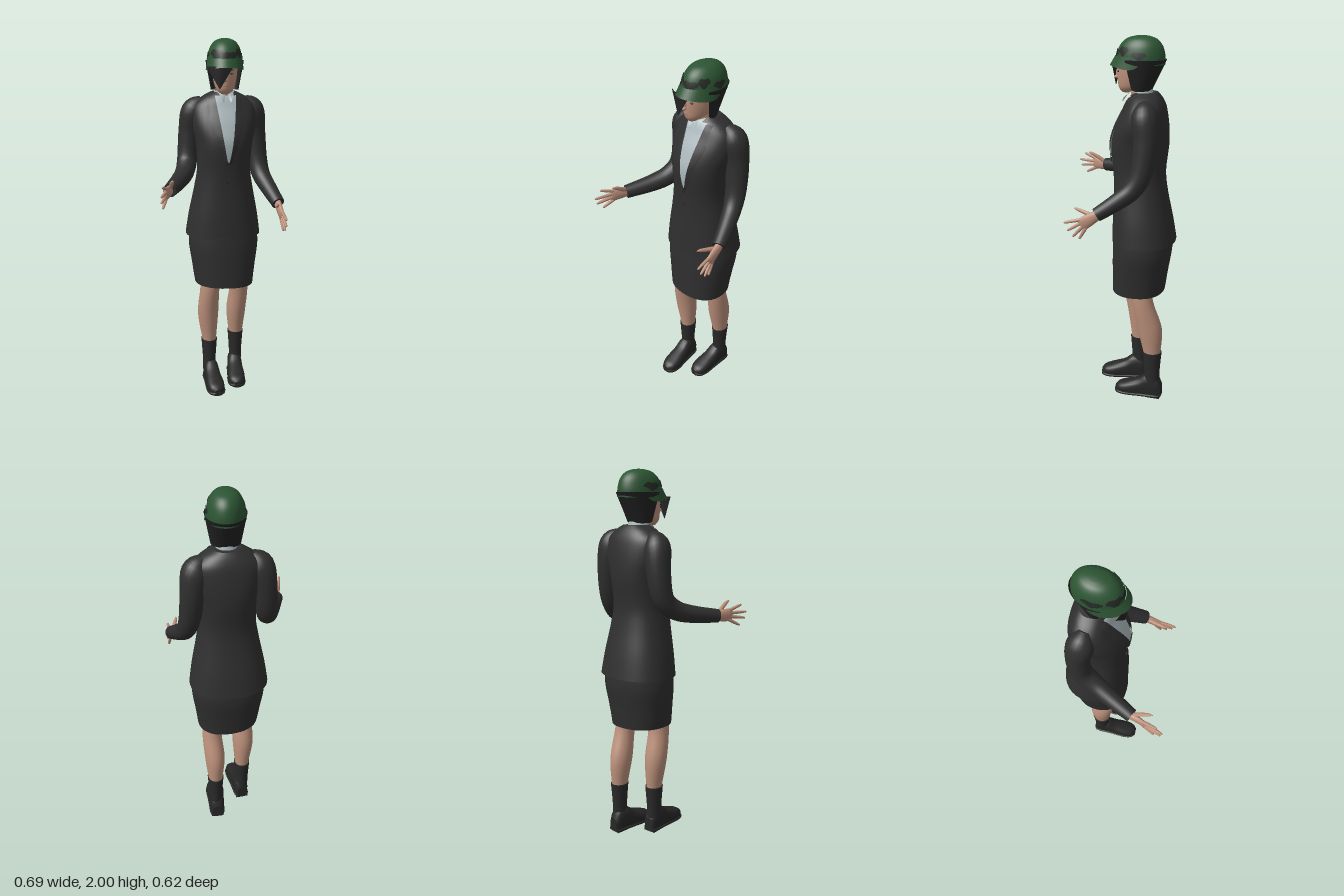
import * as THREE from 'three';
import { ParametricGeometry } from 'three/addons/geometries/ParametricGeometry.js';

const mat = (name, color, open) => new THREE.MeshStandardMaterial({ name, color, side: open ? THREE.DoubleSide : THREE.FrontSide });
const { sin, cos, abs, sign, pow, PI, max } = Math;
const V = (x, y, z) => new THREE.Vector3(x, y, z);
const spow = (v, p) => sign(v) * pow(abs(v), p);
const lerp = THREE.MathUtils.lerp;
const POW = 0.88; // slightly squared body sections

// Smoothly subdivide rows of numbers
function resample(rows, n = 5) {
  const out = [], last = rows.length - 1;
  for (let i = 0; i < last; i++) for (let k = 0; k < n; k++) {
    const t = k / n, a = rows[max(0, i - 1)], b = rows[i], c = rows[i + 1], d = rows[Math.min(last, i + 2)];
    out.push(b.map((_, m) => 0.5 * (2 * b[m] + (c[m] - a[m]) * t + (2 * a[m] - 5 * b[m] + 4 * c[m] - d[m]) * t * t + (3 * b[m] - a[m] - 3 * c[m] + d[m]) * t ** 3)));
  }
  out.push(rows[last]);
  return out;
}

// Skin a list of equal rings and close both ends
function skin(rings) {
  const n = rings[0].length, m = rings.length, pos = [], idx = [];
  const put = (p) => pos.push(p.x, p.y, p.z) / 3 - 1;
  rings.forEach((r) => r.forEach(put));
  for (let i = 0; i < m - 1; i++) for (let j = 0; j < n; j++) {
    const k = (j + 1) % n, a = i * n + j, b = i * n + k;
    idx.push(a, a + n, b, b, a + n, b + n);
  }
  [rings[0], rings[m - 1]].forEach((r, end) => {
    const c = put(r.reduce((s, p) => s.add(p), V(0, 0, 0)).divideScalar(n));
    r.forEach(put);
    for (let j = 0; j < n; j++) {
      const a = c + 1 + j, b = c + 1 + (j + 1) % n;
      if (end) idx.push(c, b, a); else idx.push(c, a, b);
    }
  });
  const g = new THREE.BufferGeometry();
  g.setAttribute('position', new THREE.Float32BufferAttribute(pos, 3));
  g.setIndex(idx);
  g.computeVertexNormals();
  return g;
}
const ring = (n, f) => Array.from({ length: n }, (_, j) => f(j / n * 2 * PI));

// Upright body from rows [y, cx, cz, rx, rz]
const upright = (rows, p = 1, edit = (v) => v) => skin(resample(rows).map(([y, cx, cz, rx, rz]) =>
  ring(36, (a) => edit(V(cx + rx * spow(cos(a), p), y, cz + rz * spow(sin(a), p))))));

// Limb along rows [x, y, z, radius across, radius up]
function limb(rows, n = 16) {
  const s = resample(rows), at = (i) => V(...s[THREE.MathUtils.clamp(i, 0, s.length - 1)].slice(0, 3));
  return skin(s.map(([, , , r1, r2 = r1], i) => {
    const T = at(i + 1).sub(at(i - 1)).normalize();
    const N = V(1, 0, 0).addScaledVector(T, -T.x).normalize(), D = N.clone().cross(T);
    return ring(n, (a) => at(i).addScaledVector(N, r1 * cos(a)).addScaledVector(D, r2 * sin(a)));
  }));
}

export function createModel() {
  const root = new THREE.Group();
  const suit = mat('suit black', 0x2f2f2f, true), skinM = mat('skin', 0xbd917c), shirtM = mat('shirt grey', 0xa9b6ba, true);
  const hairM = mat('hair black', 0x222222, true), green = mat('hat green', 0x2c5433, true), camo = mat('hat dark patches', 0x262b26, true);
  const sockM = mat('sock black', 0x2a2a2a), shoeM = mat('shoe black', 0x272727), lipM = mat('lips', 0x9c6458);
  const add = (name, geo, m, parent = root) => {
    const o = new THREE.Mesh(geo, m);
    o.name = name;
    parent.add(o);
    return o;
  };
  const patch = (name, f, nu, nv, m, parent) => add(name, new ParametricGeometry((u, v, t) => t.copy(f(u, v)), nu, nv), m, parent);

  // Jacket body with a cutaway notch in the front hem
  const torso = [
    [0.93, 0.04, -0.137, 0.21, 0.172], [1.05, 0.04, -0.128, 0.192, 0.16], [1.2, 0.04, -0.115, 0.162, 0.142], [1.31, 0.04, -0.108, 0.146, 0.138],
    [1.45, 0.042, -0.11, 0.155, 0.15], [1.55, 0.043, -0.122, 0.175, 0.135], [1.64, 0.044, -0.137, 0.172, 0.105], [1.69, 0.045, -0.138, 0.125, 0.083], [1.72, 0.045, -0.138, 0.07, 0.06],
  ];
  add('jacket', upright(torso, POW, (v) => {
    if (v.y < 0.99 && v.z > 0) v.y += 0.025 * Math.exp(-(((v.x - 0.02) / 0.035) ** 2));
    return v;
  }), suit);
  const fine = resample(torso);
  const frontZ = (x, y) => {
    const i = max(1, fine.findIndex((r) => r[0] >= y)), a = fine[i - 1], b = fine[i], t = (y - a[0]) / (b[0] - a[0]);
    const [, cx, cz, rx, rz] = a.map((v, k) => lerp(v, b[k], t));
    return cz + rz * pow(max(0, 1 - pow(abs((x - cx) / rx), 2 / POW)), POW / 2);
  };
  const onFront = (x, y, d) => V(x, y, frontZ(x, y) + d);

  // Shirt front, lapels and buttons
  const half = (v) => 0.003 + 0.055 * pow(v, 0.8);
  patch('shirtFront', (u, v) => onFront(0.043 + (u * 2 - 1) * half(v), lerp(1.36, 1.705, v), 0.005), 12, 20, shirtM);
  for (const s of [-1, 1]) patch('lapel', (u, v) => {
    const w = v < 0.72 ? 0.01 + 0.06 * v : 0.045 - 0.05 * (v - 0.72);
    return onFront(0.043 + s * (half(v) + u * w), lerp(1.35, 1.7, v), 0.011 - 0.006 * u);
  }, 6, 20, suit);
  for (const y of [1.25, 1.33]) {
    const b = add('jacketButton', new THREE.CylinderGeometry(0.007, 0.007, 0.006, 10), shoeM);
    b.rotation.x = PI / 2;
    b.position.copy(onFront(0.035, y, 0.002));
  }

  // Skirt
  add('skirt', upright([[0.642, 0.042, -0.11, 0.166, 0.145], [0.75, 0.042, -0.118, 0.18, 0.152], [0.87, 0.042, -0.128, 0.196, 0.16], [0.97, 0.042, -0.13, 0.19, 0.155]], POW,
    (v) => { if (v.y < 0.66) v.y -= 0.04 * (v.x - 0.04); return v; }), suit);

  // Legs and socks
  add('rightLeg', upright([[0.2, -0.045, -0.105, 0.036, 0.042], [0.28, -0.045, -0.105, 0.04, 0.046], [0.45, -0.052, -0.097, 0.059, 0.063], [0.62, -0.045, -0.066, 0.055, 0.06], [0.75, -0.03, -0.08, 0.065, 0.07]]), skinM);
  add('leftLeg', upright([[0.2, 0.13, -0.203, 0.036, 0.042], [0.28, 0.13, -0.2, 0.041, 0.048], [0.43, 0.13, -0.185, 0.056, 0.068], [0.6, 0.137, -0.143, 0.054, 0.058], [0.75, 0.11, -0.12, 0.065, 0.07]]), skinM);
  for (const [x, z, y0] of [[-0.045, -0.105, 0.02], [0.13, -0.202, 0]])
    add('sock', upright([[y0 + 0.07, x, z, 0.036, 0.042], [0.17, x, z, 0.038, 0.044], [0.285, x, z, 0.046, 0.053]]), sockM);

  // Shoes from rows [z from heel, half width, height]
  const upper = [[0, 0.028, 0.08], [0.025, 0.039, 0.125], [0.08, 0.042, 0.135], [0.13, 0.045, 0.1], [0.2, 0.05, 0.072], [0.245, 0.04, 0.055], [0.266, 0.016, 0.036]];
  const shoeGeo = (rows) => skin(resample(rows).map(([z, w, h]) => ring(20, (a) =>
    V(w * spow(cos(a), 0.8), h / 2 * (1 - spow(sin(a), sin(a) > 0 ? 0.35 : 0.9)), z))));
  for (const [name, x, y, z, turn] of [['rightShoe', -0.042, 0.022, -0.148, 0.05], ['leftShoe', 0.13, 0.004, -0.256, -0.09]]) {
    const shoe = new THREE.Group();
    shoe.name = name;
    shoe.position.set(x, y, z);
    shoe.rotation.y = turn;
    add('shoeUpper', shoeGeo(upper), shoeM, shoe);
    add('sole', shoeGeo(upper.map(([d, w]) => [d * 1.01, w + 0.004, 0.02])), shoeM, shoe);
    const heel = add('heel', new THREE.BoxGeometry(0.07, 0.026, 0.07), shoeM, shoe);
    heel.position.set(0, 0.009, 0.04);
    root.add(shoe);
  }

  // Sleeves
  add('rightSleeve', limb([[-0.07, 1.675, -0.145, 0.03], [-0.115, 1.62, -0.155, 0.068], [-0.138, 1.5, -0.17, 0.063], [-0.155, 1.36, -0.155, 0.056], [-0.178, 1.295, -0.09, 0.052], [-0.22, 1.265, 0, 0.046], [-0.285, 1.245, 0.138, 0.036]], 24), suit);
  add('leftSleeve', limb([[0.16, 1.675, -0.145, 0.03], [0.203, 1.62, -0.155, 0.068], [0.222, 1.5, -0.165, 0.063], [0.238, 1.35, -0.148, 0.056], [0.254, 1.26, -0.105, 0.05], [0.28, 1.2, -0.03, 0.044], [0.311, 1.135, 0.07, 0.036]], 24), suit);

  // Hands: palm rows, fingers as [base, tip], thumb path
  const hand = (name, palm, fingers, thumb) => {
    const g = new THREE.Group();
    g.name = name;
    add('palm', limb(palm), skinM, g);
    fingers.forEach(([a, b]) => {
      const mid = a.map((v, i) => lerp(v, b[i], 0.55));
      add('finger', limb([[...a, 0.0095], [...mid, 0.0085], [...a.map((v, i) => lerp(v, b[i], 0.92)), 0.006], [...b, 0.002]], 8), skinM, g);
    });
    add('thumb', limb(thumb, 8), skinM, g);
    root.add(g);
  };
  hand('rightHand',
    [[-0.278, 1.245, 0.11, 0.021, 0.024], [-0.292, 1.245, 0.155, 0.017, 0.031], [-0.31, 1.245, 0.205, 0.012, 0.035], [-0.317, 1.245, 0.22, 0.006, 0.03]],
    [[[-0.311, 1.27, 0.205], [-0.335, 1.295, 0.278]], [[-0.312, 1.254, 0.21], [-0.345, 1.253, 0.312]], [[-0.312, 1.236, 0.208], [-0.345, 1.22, 0.302]], [[-0.31, 1.22, 0.2], [-0.335, 1.183, 0.267]]],
    [[-0.283, 1.26, 0.145, 0.012], [-0.28, 1.287, 0.185, 0.011], [-0.279, 1.308, 0.222, 0.008], [-0.279, 1.315, 0.243, 0.002]]);
  hand('leftHand',
    [[0.308, 1.145, 0.05, 0.021, 0.024], [0.311, 1.115, 0.095, 0.017, 0.031], [0.314, 1.085, 0.14, 0.012, 0.034], [0.315, 1.076, 0.152, 0.006, 0.028]],
    [[[0.314, 1.106, 0.152], [0.315, 1.085, 0.24]], [[0.314, 1.092, 0.144], [0.32, 1.045, 0.222]], [[0.314, 1.078, 0.134], [0.322, 1.015, 0.193]], [[0.314, 1.066, 0.124], [0.32, 1.003, 0.16]]],
    [[0.303, 1.128, 0.09, 0.012], [0.288, 1.138, 0.135, 0.011], [0.275, 1.148, 0.175, 0.008], [0.271, 1.152, 0.195, 0.002]]);

  // Neck and shirt collar
  add('neck', upright([[1.64, 0.045, -0.125, 0.05, 0.05], [1.73, 0.045, -0.105, 0.045, 0.048], [1.8, 0.045, -0.1, 0.045, 0.05]]), skinM);
  patch('collar', (u, v) => {
    const a = u * 2 * PI, r = 0.064 - 0.012 * v;
    return V(0.045 + r * sin(a), lerp(1.68, 1.73, v) - 0.014 * cos(a), -0.118 + r * cos(a));
  }, 32, 4, shirtM);
  for (const s of [-1, 1]) patch('collarPoint', (u, v) =>
    V(0.045 + s * (0.006 + 0.04 * u * (1 - v * 0.5) + 0.012 * v), 1.715 + 0.015 * u - 0.045 * v * (1 - u * 0.6), -0.048 - 0.03 * u * u + 0.03 * v), 5, 5, shirtM);

  // Head, turned slightly to its right
  const head = new THREE.Group();
  head.name = 'head';
  head.position.set(0.045, 0, -0.105);
  head.rotation.y = -0.16;
  root.add(head);
  add('face', upright([[1.716, 0, 0.068, 0.02, 0.025], [1.74, 0, 0.045, 0.046, 0.066], [1.78, 0, 0.022, 0.06, 0.095], [1.83, 0, 0.008, 0.067, 0.11], [1.88, 0, 0, 0.07, 0.11], [1.93, 0, 0, 0.06, 0.09]]), skinM, head);
  const oval = (name, x, y, z, sx, sy, sz, m) => {
    const o = add(name, new THREE.SphereGeometry(1, 14, 10), m, head);
    o.position.set(x, y, z);
    o.scale.set(sx, sy, sz);
  };
  oval('noseBridge', 0, 1.81, 0.115, 0.009, 0.026, 0.014, skinM);
  oval('noseTip', 0, 1.792, 0.124, 0.012, 0.01, 0.013, skinM);
  oval('mouth', 0, 1.758, 0.107, 0.019, 0.006, 0.008, lipM);
  for (const s of [-1, 1]) {
    oval('eye', s * 0.029, 1.823, 0.103, 0.013, 0.005, 0.006, hairM);
    oval('eyebrow', s * 0.03, 1.842, 0.105, 0.017, 0.003, 0.005, hairM);
  }

  // Hair around sides and back, flaring upward
  patch('hair', (u, v) => {
    const a = lerp(1.2, 2 * PI - 1.2, u);
    return V((0.074 + 0.028 * v) * sin(a), lerp(1.73, 1.885, v) + 0.02 * (1 - v) * max(0, cos(a)), (0.062 + 0.076 * v) * cos(a));
  }, 36, 8, hairM, head);
  // Fringe swept down over the right eye
  patch('fringe', (u, v) => {
    const k = 1 - v, bulge = 0.012 * sin(PI * u) * k;
    return V(lerp(-0.004, lerp(-0.07, 0.068, u), k), lerp(1.745, 1.862, k), lerp(0.028, lerp(0.0, 0.035, u), k) + bulge);
  }, 12, 8, hairM);

  // Hat: crown, turned brim and dark patches
  const crown = [[1.86, 0, -0.004, 0.094, 0.126], [1.905, 0, -0.004, 0.091, 0.125], [1.95, 0, -0.006, 0.08, 0.11], [1.982, 0, -0.008, 0.058, 0.08], [1.996, 0, -0.01, 0.03, 0.042], [2.0, 0, -0.01, 0.006, 0.01]];
  add('hatCrown', upright(crown), green, head);
  patch('hatBrim', (u, v) => {
    const a = lerp(-1.9, 1.9, u), f = max(0, cos(a)), fade = 1 - pow(abs(u * 2 - 1), 6);
    const out = 1 + v * fade * (0.08 + 0.14 * f);
    return V(0.094 * out * sin(a), 1.9 - v * (0.02 + fade * (0.055 - 0.03 * f)), 0.128 * out * cos(a));
  }, 32, 5, green, head);
  const hatRows = resample(crown);
  const onHat = (a, y) => {
    const i = max(1, hatRows.findIndex((r) => r[0] >= y)), p = hatRows[i - 1], q = hatRows[i], t = (y - p[0]) / (q[0] - p[0]);
    return V((lerp(p[3], q[3], t) + 0.003) * sin(a), y, -0.005 + (lerp(p[4], q[4], t) + 0.004) * cos(a));
  };
  for (const [a0, a1, y0, y1] of [[-1.9, -1.05, 1.895, 1.935], [-0.95, -0.1, 1.9, 1.948], [-0.15, 0.75, 1.893, 1.935], [0.7, 1.25, 1.905, 1.95], [1.4, 2, 1.89, 1.925]])
    patch('hatPatch', (u, v) => onHat(lerp(a0, a1, u), lerp(y0, y1, 0.5 + (v - 0.5) * (0.25 + 0.75 * sin(PI * u)) + 0.12 * sin(9 * u))), 12, 4, camo, head);

  return root;
}
